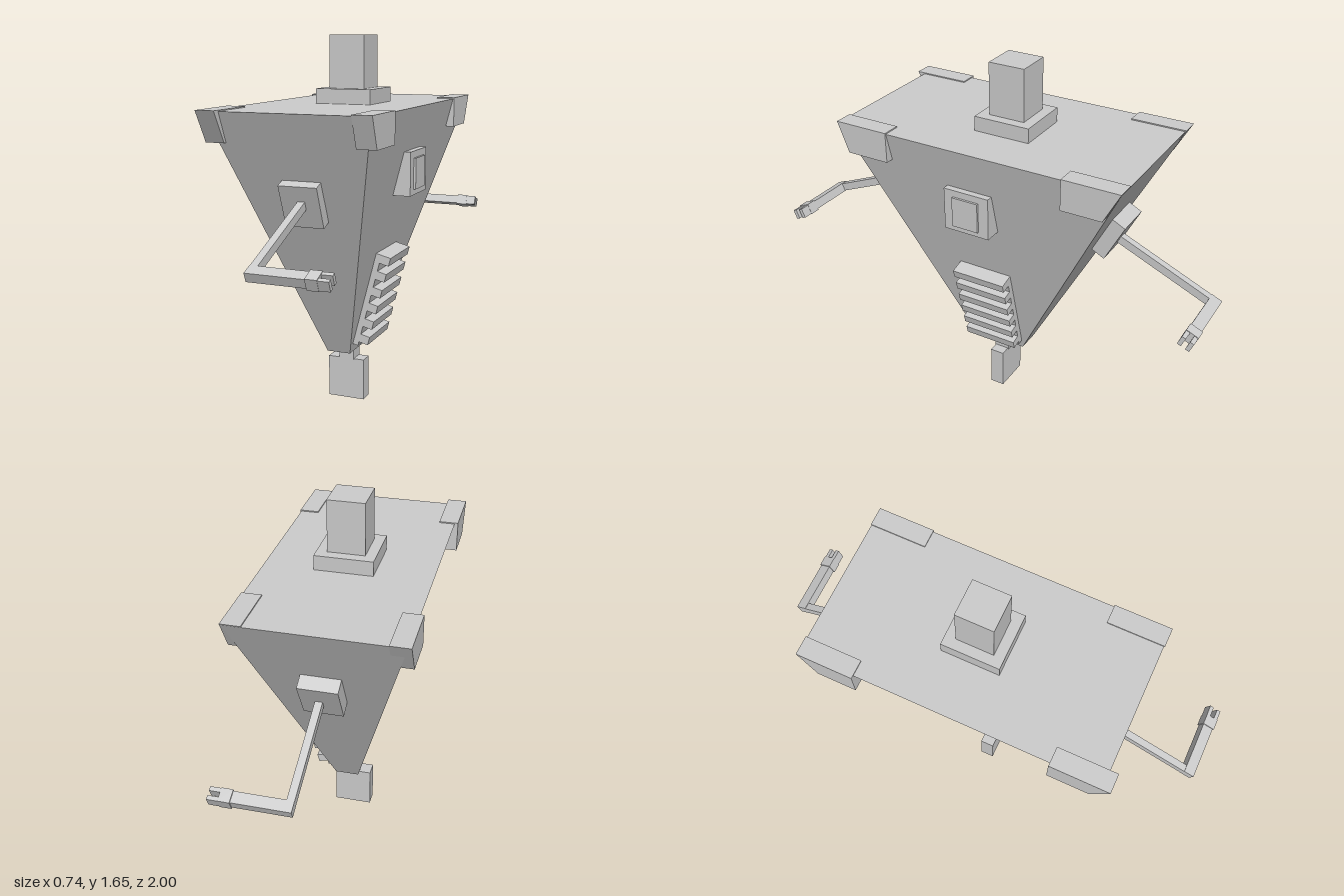
import * as THREE from 'three';

const material = new THREE.MeshStandardMaterial({ color: 0xcccccc, flatShading: true });

function add(parent, name, geometry) {
  const mesh = new THREE.Mesh(geometry, material);
  mesh.name = name;
  parent.add(mesh);
  return mesh;
}

// Box given by its extents on each axis
function block(parent, name, [x0, x1], [y0, y1], [z0, z1]) {
  const g = new THREE.BoxGeometry(x1 - x0, y1 - y0, z1 - z0);
  g.translate((x0 + x1) / 2, (y0 + y1) / 2, (z0 + z1) / 2);
  return add(parent, name, g);
}

function prism(points, depth) {
  const shape = new THREE.Shape(points.map(([a, b]) => new THREE.Vector2(a, b)));
  return new THREE.ExtrudeGeometry(shape, { depth, bevelEnabled: false });
}

// Profile in (x, y) extruded along z
const prismZ = (points, z0, z1) => prism(points, z1 - z0).translate(0, 0, z0);
// Profile in (z, y) extruded along x
const prismX = (points, x0, x1) => prism(points, x1 - x0).rotateY(-Math.PI / 2).translate(x1, 0, 0);

// Box whose bottom and top rectangles differ
function taperedBody() {
  const g = new THREE.BoxGeometry(1, 1, 1);
  const p = g.attributes.position;
  const bottom = { x: [-0.033, 0.075], y: 0.25, z: [-0.1, 0.16] };
  const top = { x: [-0.355, 0.36], y: 1.355, z: [-0.67, 0.648] };
  for (let i = 0; i < p.count; i++) {
    const r = p.getY(i) > 0 ? top : bottom;
    p.setXYZ(i, r.x[p.getX(i) > 0 ? 1 : 0], r.y, r.z[p.getZ(i) > 0 ? 1 : 0]);
  }
  g.computeVertexNormals();
  return g;
}

// Bent arm with a two-fingered gripper; s = 1 at the front, -1 at the back
function arm(parent, s, shoulder, hand) {
  const length = Math.hypot(hand[0] - shoulder[0], hand[1] - shoulder[1]);
  const group = new THREE.Group();
  group.name = s > 0 ? 'frontArm' : 'backArm';
  group.position.set(0, shoulder[1], shoulder[0]);
  group.rotation.x = s * Math.atan2(shoulder[1] - hand[1], Math.abs(hand[0] - shoulder[0]));
  const along = (a, b) => (s > 0 ? [a, b] : [-b, -a]);
  block(group, 'upperArm', [0.005, 0.037], [-0.018, 0.018], along(0, length));
  block(group, 'forearm', [0.005, 0.25], [-0.02, 0.02], along(length - 0.025, length + 0.025));
  block(group, 'gripperCuff', [0.247, 0.295], [-0.025, 0.025], along(length - 0.029, length + 0.029));
  for (const side of [-1, 1]) {
    const c = length + side * 0.019;
    block(group, 'gripperFinger', [0.29, 0.34], [-0.022, 0.022], along(c - 0.009, c + 0.009));
  }
  parent.add(group);
}

export function createModel() {
  const model = new THREE.Group();
  add(model, 'body', taperedBody());

  // Top column and its base
  block(model, 'columnBase', [-0.11, 0.143], [1.35, 1.42], [-0.157, 0.1]);
  block(model, 'column', [-0.065, 0.097], [1.42, 1.65], [-0.11, 0.055]);

  // Neck and foot
  block(model, 'neck', [-0.017, 0.053], [0.185, 0.255], [-0.01, 0.065]);
  block(model, 'foot', [-0.07, 0.101], [0, 0.19], [-0.005, 0.06]);

  // Corner brackets: inner z, outer z at the top, outer z at the bottom
  const corners = [
    [-0.37, -0.285, 0.425, 0.683, 0.605],
    [0.28, 0.365, 0.4, 0.652, 0.6],
    [-0.37, -0.285, -0.425, -0.675, -0.6],
    [0.28, 0.365, -0.42, -0.672, -0.6],
  ];
  for (const [x0, x1, inner, outerTop, outerBottom] of corners) {
    const profile = [[inner, 1.225], [outerBottom, 1.225], [outerTop, 1.36], [inner, 1.36]];
    add(model, 'cornerBracket', prismX(profile, x0, x1));
  }

  // Side hatch
  add(model, 'hatchFrame', prismZ([[0.25, 0.975], [0.34, 0.975], [0.34, 1.165], [0.29, 1.165]], -0.08, 0.133));
  block(model, 'hatchPanel', [0.32, 0.35], [1.0, 1.135], [-0.033, 0.09]);

  // Slatted vent following the sloping side
  const vent = new THREE.Group();
  vent.name = 'sideVent';
  vent.position.set(0.08, 0.29, 0.027);
  vent.rotation.z = -Math.atan2(0.285, 1.105);
  block(vent, 'ventPlate', [-0.01, 0.03], [0.008, 0.44], [-0.128, 0.128]);
  for (let i = 0; i < 6; i++) {
    const y = 0.035 + i * 0.076;
    block(vent, 'ventSlat', [0, 0.073], [y - 0.008, y + 0.03], [-0.128, 0.128]);
  }
  model.add(vent);

  // Shoulder pads and arms at both ends
  const pads = [['frontShoulderPad', 0.982, 0.508, 0.05, 0.38], ['backShoulderPad', 0.986, -0.513, 0.07, -0.475]];
  for (const [name, y, z, depth, tilt] of pads) {
    const pad = add(model, name, new THREE.BoxGeometry(0.17, 0.19, depth));
    pad.position.set(0.015, y, z);
    pad.rotation.x = tilt;
  }
  arm(model, 1, [0.5, 0.995], [0.965, 0.803]);
  arm(model, -1, [-0.5, 0.975], [-0.967, 0.775]);

  // Corner profiles may run clockwise; the extruder orients them outward
  return model;
}
